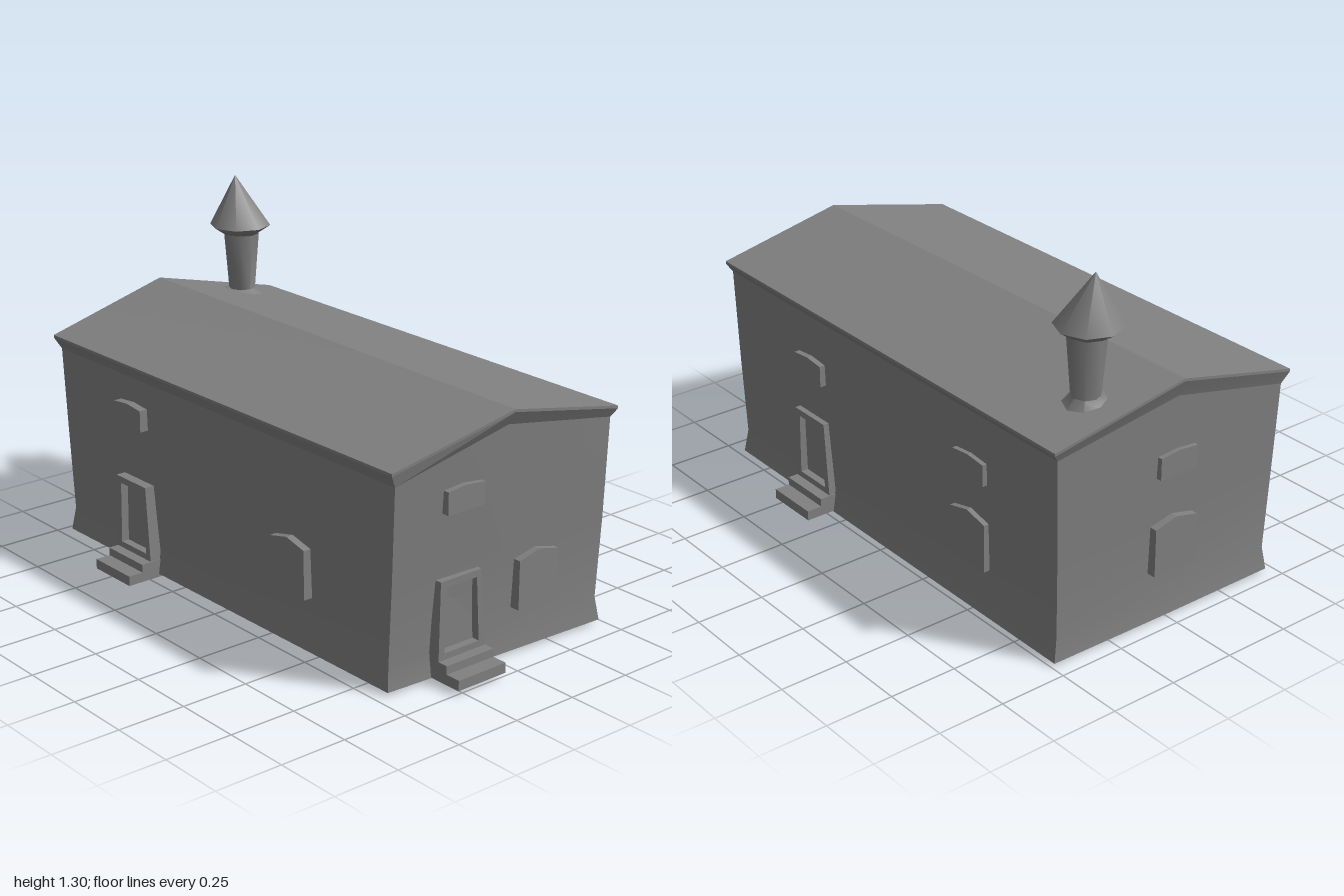
import * as THREE from 'three';
import { toCreasedNormals } from 'three/addons/utils/BufferGeometryUtils.js';

const stone = new THREE.MeshStandardMaterial({ color: 0x808080, side: THREE.DoubleSide });
stone.name = 'grey stone';

function mesh(name, geometry, crease = 0.5) {
  const m = new THREE.Mesh(toCreasedNormals(geometry, crease), stone);
  m.name = name;
  return m;
}

// Bands of quads between six-point loops, each point [x, y, z]
function skin(loops, closed = true) {
  const pos = [];
  for (let r = 0; r + 1 < loops.length; r++) {
    const lo = loops[r], hi = loops[r + 1], n = lo.length;
    for (let i = 0; i < (closed ? n : n - 1); i++) {
      const j = (i + 1) % n;
      for (const p of [lo[i], lo[j], hi[j], lo[i], hi[j], hi[i]]) pos.push(...p);
    }
  }
  const g = new THREE.BufferGeometry();
  g.setAttribute('position', new THREE.Float32BufferAttribute(pos, 3));
  return g;
}

// Loop order: front -x, front +x, middle +x, back +x, back -x, middle -x
const level = (y, pts) => pts.map(([x, z]) => [x, y, z]);

const wallTop = [
  [-0.965, 0.735, 0.468], [0.9, 0.735, 0.463], [0.915, 0.84, -0.01],
  [0.918, 0.76, -0.485], [-0.95, 0.76, -0.495], [-0.975, 0.845, -0.01],
];
const eaves = [
  [-0.98, 0.778, 0.492], [0.91, 0.778, 0.485], [0.942, 0.888, -0.012],
  [0.935, 0.79, -0.503], [-0.965, 0.79, -0.518], [-1, 0.905, -0.01],
];
const roofEdge = eaves.map(([x, y, z]) => [x, y + 0.01, z]);

// Pointed or flat outline from corner points
function extrude(points, depth, hole) {
  const toV = (p) => p.map(([x, y]) => new THREE.Vector2(x, y));
  const shape = new THREE.Shape(toV(points));
  if (hole) shape.holes.push(new THREE.Path(toV(hole)));
  return new THREE.ExtrudeGeometry(shape, { depth, bevelEnabled: false });
}

// Window block: outer face at local z = 0
function windowBlock(name, w, h, peak) {
  const m = mesh(name, extrude([[-w / 2, 0], [w / 2, 0], [w / 2, h], [0, h + peak], [-w / 2, h]], 0.055), 0.1);
  m.geometry.translate(0, 0, -0.055);
  return m;
}

// Crooked door frame with a recessed leaf and two steps
function doorway() {
  const g = new THREE.Group();
  g.name = 'doorway';
  const outer = [[-0.105, 0.02], [0.105, 0.02], [0.08, 0.347], [-0.1, 0.347]];
  const inner = [[-0.078, 0.09], [0.075, 0.09], [0.06, 0.322], [-0.073, 0.322]];
  const frame = mesh('doorFrame', extrude(outer, 0.06, inner), 0.1);
  frame.position.z = -0.06;
  const leaf = mesh('doorLeaf', extrude(inner, 0.02), 0.1);
  leaf.position.z = -0.05;
  g.add(frame, leaf);
  [[0.037, 0.098, 0], [0.03, 0.04, 0.037]].forEach(([h, out, y], i) => {
    const step = mesh(i ? 'upperStep' : 'lowerStep', new THREE.BoxGeometry(0.21, h, out + 0.05));
    step.position.set(0, y + h / 2, (out - 0.05) / 2);
    g.add(step);
  });
  return g;
}

export function createModel() {
  const house = new THREE.Group();
  house.name = 'house';

  // Walls flare at the foot, lean outwards to the top and end in a sloping soffit
  house.add(mesh('walls', skin([
    level(0.012, [[-0.953, 0.463], [0.865, 0.453], [0.89, -0.01], [0.91, -0.482], [-0.945, -0.49], [-0.952, -0.01]]),
    level(0.1, [[-0.943, 0.449], [0.852, 0.44], [0.88, -0.01], [0.9, -0.467], [-0.935, -0.475], [-0.942, -0.01]]),
    level(0.4, [[-0.953, 0.459], [0.878, 0.452], [0.897, -0.01], [0.912, -0.475], [-0.943, -0.483], [-0.952, -0.01]]),
    wallTop,
  ]), 0.4));
  house.add(mesh('soffit', skin([wallTop, eaves]), 0.2));
  house.add(mesh('roofEdge', skin([eaves, roofEdge]), 0.2));

  // Two roof slopes meeting at the ridge
  const [fl, fr, mr, br, bl, ml] = roofEdge;
  house.add(mesh('roof', skin([[fl, fr], [ml, mr], [bl, br]], false), 0.2));

  // Stove pipe with a skirt that follows the slope of the roof
  const pipeProfile = [[0.085, 0.85], [0.05, 0.87], [0.067, 1.085]].map((p) => new THREE.Vector2(...p));
  const pipe = new THREE.LatheGeometry(pipeProfile, 8);
  const p = pipe.attributes.position;
  for (let i = 0; i < p.count; i++) {
    if (p.getY(i) < 0.86) p.setY(i, p.getY(i) + 0.22 * p.getZ(i));
  }
  const pipeMesh = mesh('chimneyPipe', pipe, 0.9);
  pipeMesh.position.set(-0.82, 0, -0.27);
  house.add(pipeMesh);

  // Pointed cap with its tip leaning to one side
  const capProfile = [[0, 1.085], [0.068, 1.085], [0.116, 1.117], [0, 1.305]].map((q) => new THREE.Vector2(...q));
  const cap = new THREE.LatheGeometry(capProfile, 8);
  const c = cap.attributes.position;
  for (let i = 0; i < c.count; i++) if (c.getY(i) > 1.2) c.setX(i, -0.028);
  const capMesh = mesh('chimneyCap', cap, 0.9);
  capMesh.position.set(-0.827, 0, -0.27);
  house.add(capMesh);

  // Openings: [part, x, y, z, turn about the vertical]
  const back = Math.PI, right = Math.PI / 2, left = -Math.PI / 2;
  const small = () => windowBlock('smallWindow', 0.16, 0.08, 0.008);
  const large = () => windowBlock('archedWindow', 0.182, 0.178, 0.022);
  const parts = [
    [doorway(), -0.493, 0, 0.493, 0],
    [small(), -0.51, 0.555, 0.495, 0],
    [large(), 0.383, 0.21, 0.482, 0],
    [doorway(), 0.415, 0.015, -0.498, back],
    [small(), 0.415, 0.515, -0.505, back],
    [small(), -0.51, 0.515, -0.505, back],
    [large(), -0.5, 0.19, -0.5, back],
    [doorway(), 0.908, 0.015, 0.168, right],
    [small(), 0.922, 0.593, 0.175, right],
    [large(), 0.924, 0.17, -0.163, right],
    [small(), -0.98, 0.56, 0, left],
    [large(), -0.978, 0.2, 0, left],
  ];
  for (const [part, x, y, z, turn] of parts) {
    part.position.set(x, y, z);
    part.rotation.y = turn;
    house.add(part);
  }
  return house;
}
